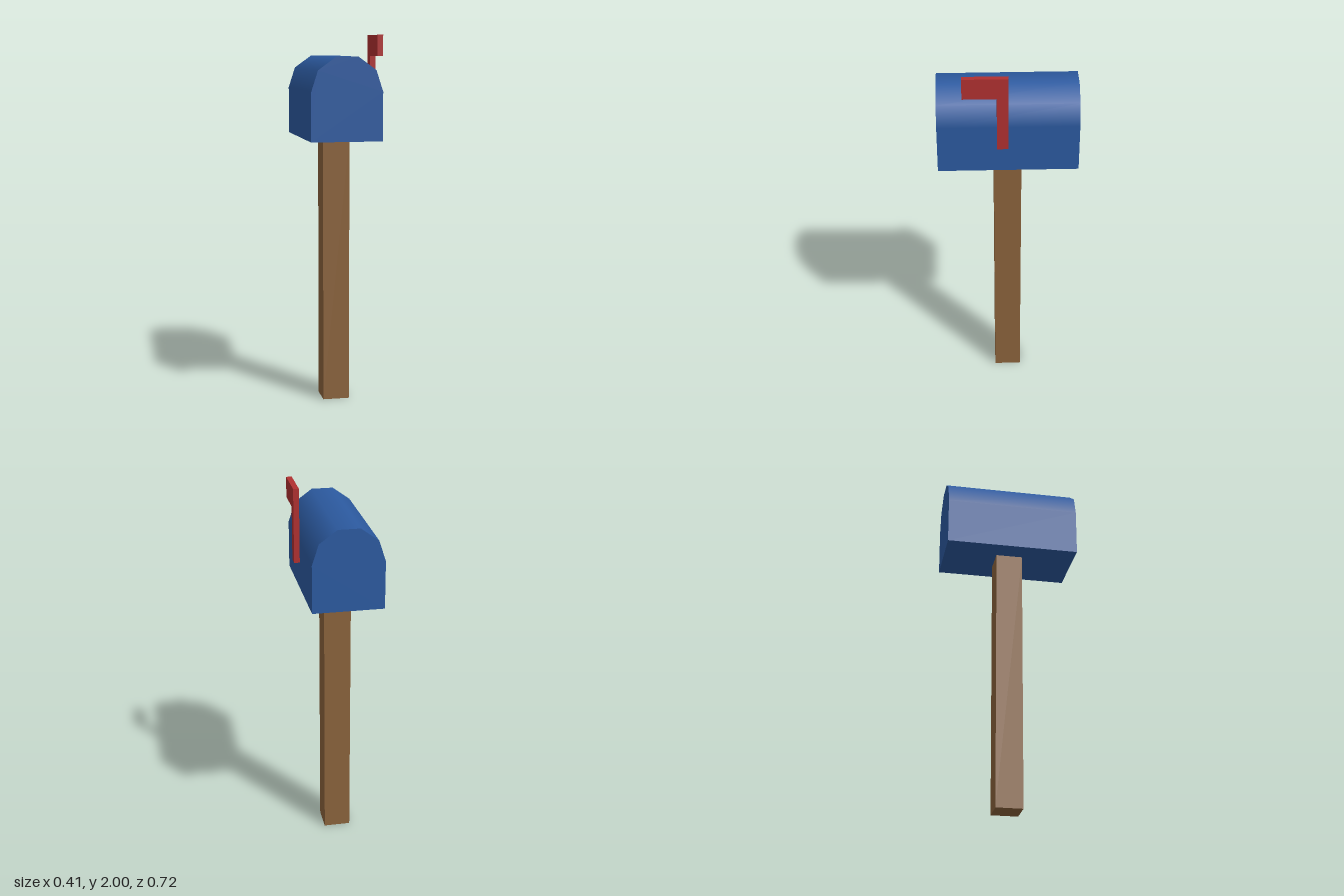
import * as THREE from 'three';

const CENTER_X = -0.015; // the post and box sit slightly off centre to make room for the flag

function addMesh(group, name, geometry, color) {
  const mesh = new THREE.Mesh(geometry, new THREE.MeshStandardMaterial({ color }));
  mesh.name = name;
  group.add(mesh);
  return mesh;
}

// Box with straight walls and a five-sided arched roof, shaded as a smooth arch
function boxGeometry(radius, bottom, spring, length) {
  const points = [new THREE.Vector2(-radius, bottom), new THREE.Vector2(radius, bottom)];
  for (let i = 0; i <= 5; i++) {
    const a = (i / 5) * Math.PI;
    points.push(new THREE.Vector2(radius * Math.cos(a), spring + radius * Math.sin(a)));
  }
  const geometry = new THREE.ExtrudeGeometry(new THREE.Shape(points), { depth: length, bevelEnabled: false });
  geometry.translate(0, 0, -length / 2);

  // Radial normals on the roof, flat ends and walls
  const { position, normal } = geometry.attributes;
  const n = new THREE.Vector3();
  for (let i = 0; i < position.count; i++) {
    if (Math.abs(normal.getZ(i)) > 0.5 || position.getY(i) < spring - 0.001) continue;
    n.set(position.getX(i), position.getY(i) - spring, 0).normalize();
    normal.setXYZ(i, n.x, n.y, n.z);
  }
  return geometry;
}

// L-shaped flag outline, drawn in the side plane and extruded along x
function flagGeometry(thickness) {
  const outline = [[0, 1.6], [0, 2], [-0.231, 2], [-0.231, 1.89], [-0.058, 1.89], [-0.058, 1.6]];
  const shape = new THREE.Shape(outline.map(([x, y]) => new THREE.Vector2(x, y)));
  return new THREE.ExtrudeGeometry(shape, { depth: thickness, bevelEnabled: false }).rotateY(Math.PI / 2);
}

export function createModel() {
  const model = new THREE.Group();
  model.name = 'mailbox';

  const post = addMesh(model, 'post', new THREE.BoxGeometry(0.145, 1.455, 0.145), 0x8b633c);
  post.position.set(CENTER_X, 1.455 / 2, 0);

  const box = addMesh(model, 'letterBox', boxGeometry(0.188, 1.455, 1.71, 0.724), 0x2c5aa0);
  box.position.x = CENTER_X;

  const flag = addMesh(model, 'flag', flagGeometry(0.03), 0xb03030);
  flag.position.x = 0.173;

  return model;
}
